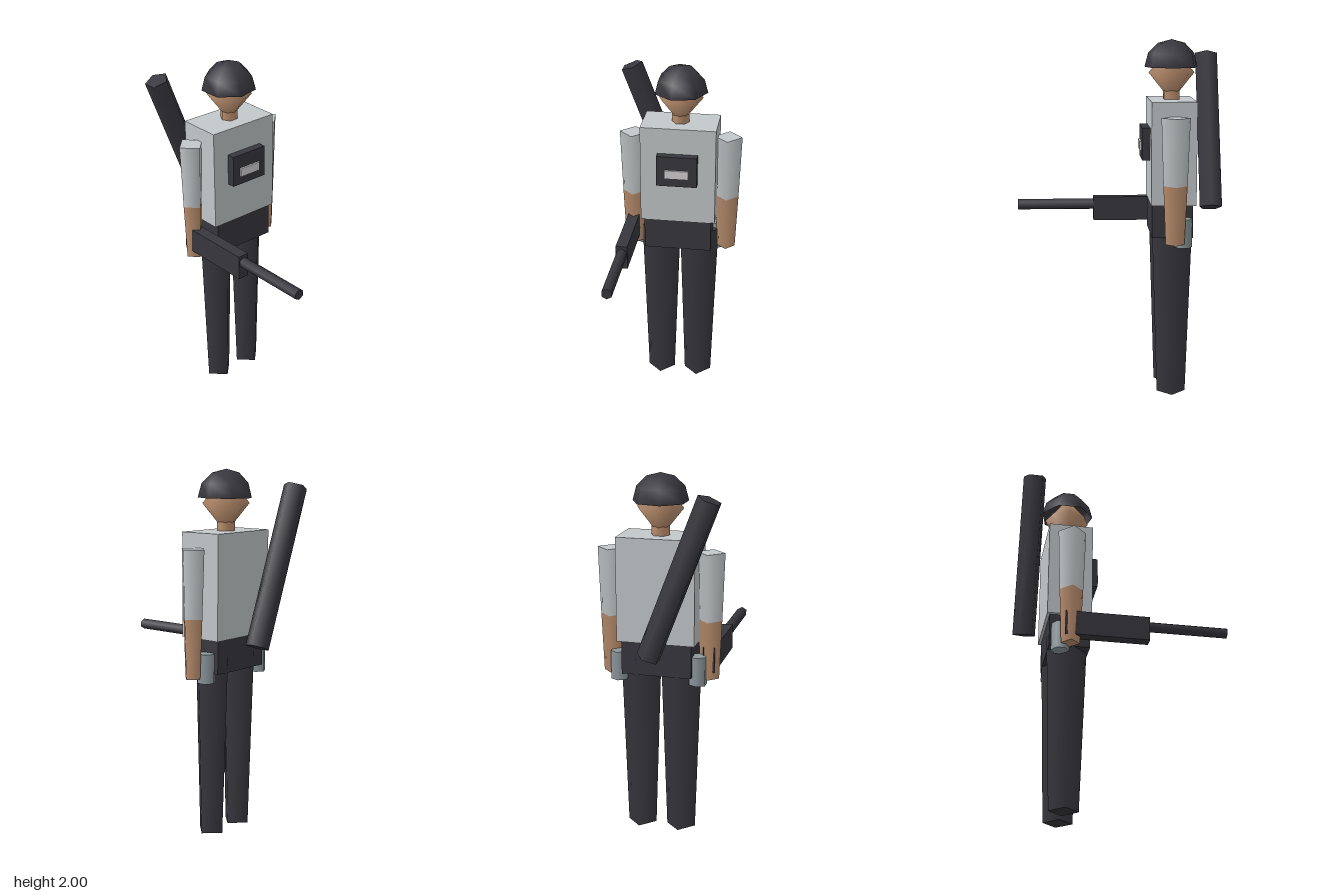
import * as THREE from 'three';

const material = (name, color, extra = {}) => {
  const m = new THREE.MeshStandardMaterial({ color, ...extra });
  m.name = name;
  return m;
};

export function createModel() {
  const charcoal = material('charcoal', 0x38373e);
  const helmetCharcoal = charcoal.clone();
  helmetCharcoal.side = THREE.DoubleSide;
  const lightGrey = material('light grey', 0xc3c8ca);
  const skin = material('skin', 0xba8e6e);
  const steel = material('steel', 0x8d989e);
  const paleGrey = material('pale grey', 0xd4d2d6);

  const group = new THREE.Group();
  group.name = 'soldier';
  const CX = 0.004, CZ = -0.293; // body axis

  const add = (name, geometry, mat, x, y, z) => {
    const mesh = new THREE.Mesh(geometry, mat);
    mesh.name = name;
    mesh.position.set(x, y, z);
    group.add(mesh);
    return mesh;
  };
  // box given by its limits on each axis
  const box = (name, mat, [x0, x1], [y0, y1], [z0, z1]) =>
    add(name, new THREE.BoxGeometry(x1 - x0, y1 - y0, z1 - z0), mat,
      (x0 + x1) / 2, (y0 + y1) / 2, (z0 + z1) / 2);
  // upright tapered prism between two heights
  const post = (name, mat, rTop, rBottom, y0, y1, sides, x, z) =>
    add(name, new THREE.CylinderGeometry(rTop, rBottom, y1 - y0, sides), mat, x, (y0 + y1) / 2, z);

  // trunk
  box('torso', lightGrey, [-0.211, 0.219], [1.10, 1.67], [-0.418, -0.168]);
  box('hips', charcoal, [-0.19, 0.197], [0.915, 1.10], [-0.402, -0.174]);
  box('chestPouch', charcoal, [-0.112, 0.118], [1.34, 1.52], [-0.17, -0.123]);
  box('chestPlate', paleGrey, [-0.065, 0.071], [1.39, 1.44], [-0.123, -0.112]);

  // head: faceted double cone under a domed helmet
  post('neck', skin, 0.05, 0.05, 1.64, 1.72, 6, CX, CZ).rotation.y = Math.PI / 2;
  const headGeometry = new THREE.SphereGeometry(0.128, 8, 2);
  headGeometry.scale(1, 1.25, 1);
  add('head', headGeometry, skin, CX, 1.818, CZ);
  const helmet = add('helmet',
    new THREE.SphereGeometry(0.153, 7, 3, 0, Math.PI * 2, 0, Math.PI / 2),
    helmetCharcoal, CX, 1.848, CZ);
  helmet.rotation.y = Math.PI;

  // limbs and hip canisters on both sides
  for (const [side, s] of [['left', 1], ['right', -1]]) {
    post(side + 'Sleeve', lightGrey, 0.079, 0.066, 1.22, 1.59, 4, CX + s * 0.273, CZ - 0.002);
    post(side + 'Forearm', skin, 0.066, 0.052, 0.895, 1.22, 4, CX + s * 0.273, CZ - 0.002);
    post(side + 'Leg', charcoal, 0.114, 0.081, 0, 1.0, 4, CX + s * 0.113, CZ);
    post(side + 'Canister', steel, 0.05, 0.05, 0.87, 1.03, 6, CX + s * 0.22, -0.345);
  }

  // rifle held in the right hand
  box('rifleBody', charcoal, [-0.303, -0.237], [0.936, 1.075], [-0.328, 0.14]);
  const barrel = add('rifleBarrel', new THREE.CylinderGeometry(0.031, 0.031, 0.463, 6),
    charcoal, -0.268, 1.03, 0.352);
  barrel.rotation.x = Math.PI / 2;

  // tube slung across the back
  const tube = add('backTube',
    new THREE.CylinderGeometry(0.067, 0.067, 0.912, 5, 1, false, Math.PI / 2),
    charcoal, -0.151, 1.48, -0.522);
  tube.rotation.z = 0.365;

  return group;
}
